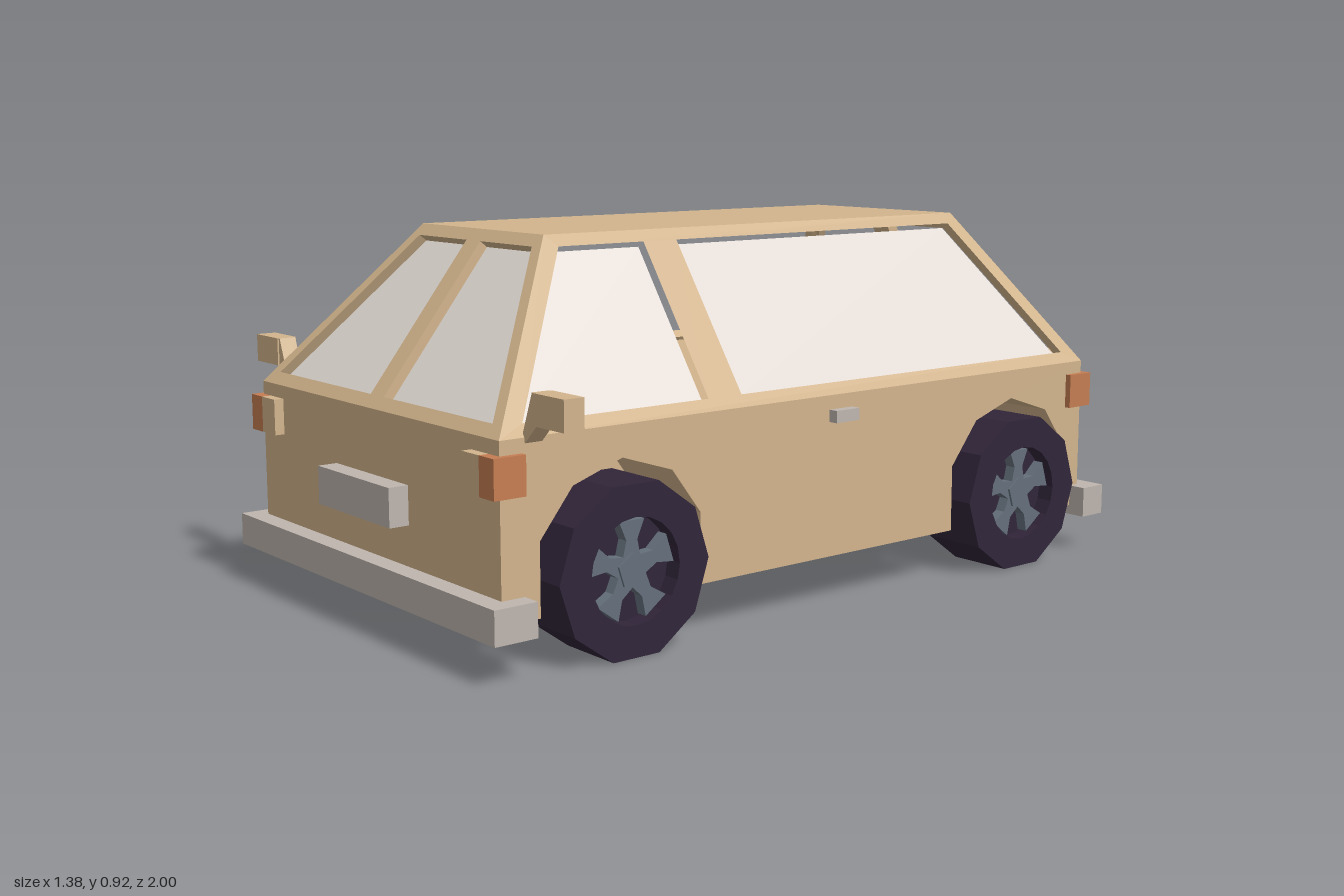
import * as THREE from 'three';

const mat = (name, color) => {
  const m = new THREE.MeshStandardMaterial({ color });
  m.name = name;
  return m;
};

const polygon = (pts) => new THREE.Shape(pts.map(([x, y]) => new THREE.Vector2(x, y)));
const ngon = (n, r) => Array.from({ length: n }, (_, i) => {
  const a = (i / n) * Math.PI * 2;
  return [r * Math.cos(a), r * Math.sin(a)];
});
const extrude = (shape, depth) => new THREE.ExtrudeGeometry(shape, { depth, bevelEnabled: false });

export function createModel() {
  const car = new THREE.Group();
  car.name = 'car';
  const paint = mat('tanPaint', 0xd2b48c);
  const glass = mat('paleGlass', 0xe4dcd6);
  const metal = mat('greyTrim', 0xbeb5ae);
  const rubber = mat('darkTyre', 0x302539);
  const alloy = mat('blueGreyAlloy', 0x65707b);
  const amber = mat('amberLamp', 0xc57d52);

  const add = (parent, name, geometry, material) => {
    const mesh = new THREE.Mesh(geometry, material);
    mesh.name = name;
    parent.add(mesh);
    return mesh;
  };
  // Box given by its lower and upper bounds on each axis
  const box = (parent, name, material, [x0, x1], [y0, y1], [z0, z1]) => {
    const b = add(parent, name, new THREE.BoxGeometry(x1 - x0, y1 - y0, z1 - z0), material);
    b.position.set((x0 + x1) / 2, (y0 + y1) / 2, (z0 + z1) / 2);
    return b;
  };
  const span = (s, a, b) => (s > 0 ? [a, b] : [-b, -a]);

  const FLOOR = 0.12, BELT = 0.52, ROOF = 0.92;
  const HALF_W = 0.54, HALF_L = 0.95, WELL_X = 0.32;
  const AXLES = [0.627, -0.664];

  // Lower body: central block plus side slabs with arches cut from below
  box(car, 'bodyCore', paint, [-WELL_X, WELL_X], [FLOOR, BELT], [-HALF_L, HALF_L]);
  const arch = [[0.223, FLOOR], [0.223, 0.29], [0.135, 0.4], [0, 0.445], [-0.14, 0.4], [-0.223, 0.29], [-0.223, FLOOR]];
  const profile = [[HALF_L, BELT], [HALF_L, FLOOR]];
  for (const axle of AXLES) arch.forEach(([z, y]) => profile.push([axle + z, y]));
  profile.push([-HALF_L, FLOOR], [-HALF_L, BELT]);
  const slab = extrude(polygon(profile.map(([z, y]) => [-z, y])), HALF_W - WELL_X);
  slab.rotateY(Math.PI / 2);
  for (const s of [1, -1]) {
    add(car, s > 0 ? 'leftBodySide' : 'rightBodySide', slab, paint).position.x = s > 0 ? WELL_X : -HALF_W;
  }

  // Cabin wall: sloping frame with openings, and recessed panes.
  // Points are (distance along u, height y); lean is the inward run from belt to roof.
  const cabinWall = (name, origin, u, inward, lean, outline, windows) => {
    const rise = ROOF - BELT, stretch = Math.hypot(rise, lean) / rise;
    const v = inward.clone().multiplyScalar(lean).setY(rise).normalize();
    const n = u.clone().cross(v);
    const toPlane = (pts) => pts.map(([a, y]) => [a, (y - BELT) * stretch]);
    const wall = new THREE.Group();
    wall.name = name;
    wall.applyMatrix4(new THREE.Matrix4().makeBasis(u, v, n).setPosition(origin));
    const frame = polygon(toPlane(outline));
    windows.forEach((w) => frame.holes.push(polygon(toPlane(w))));
    add(wall, 'windowFrame', extrude(frame, 0.03).translate(0, 0, -0.03), paint);
    windows.forEach((w) => {
      add(wall, 'windowPane', new THREE.ShapeGeometry(polygon(toPlane(w))).translate(0, 0, -0.024), glass);
    });
    car.add(wall);
  };
  const V = (x, y, z) => new THREE.Vector3(x, y, z);
  const LOW = 0.547, HIGH = 0.893, ROOF_X = 0.262, ROOF_F = 0.638, ROOF_B = -0.715;
  const endOutline = [[-HALF_W, BELT], [HALF_W, BELT], [ROOF_X, ROOF], [-ROOF_X, ROOF]];
  const endWindows = [1, -1].map((s) => [[0.03, LOW], [0.485, LOW], [0.245, HIGH], [0.03, HIGH]].map(([x, y]) => [s * x, y]));
  cabinWall('windscreen', V(0, BELT, HALF_L), V(1, 0, 0), V(0, 0, -1), HALF_L - ROOF_F, endOutline, endWindows);
  cabinWall('rearScreen', V(0, BELT, -HALF_L), V(-1, 0, 0), V(0, 0, 1), HALF_L + ROOF_B, endOutline, endWindows);

  const sideOutline = [[-HALF_L, BELT], [HALF_L, BELT], [ROOF_F, ROOF], [ROOF_B, ROOF]];
  const sideWindows = [
    [[0.365, LOW], [0.878, LOW], [0.61, HIGH], [0.365, HIGH]],
    [[-0.886, LOW], [0.265, LOW], [0.265, HIGH], [-0.685, HIGH]],
  ];
  for (const s of [1, -1]) {
    const flip = (pts) => pts.map(([z, y]) => [-s * z, y]);
    cabinWall(s > 0 ? 'leftCabinSide' : 'rightCabinSide', V(s * HALF_W, BELT, 0), V(0, 0, -s), V(-s, 0, 0),
      HALF_W - ROOF_X, flip(sideOutline), sideWindows.map(flip));
  }
  box(car, 'roof', paint, [-ROOF_X, ROOF_X], [ROOF - 0.02, ROOF], [ROOF_B, ROOF_F]);

  // Bumpers and blank plates
  box(car, 'frontBumper', metal, [-0.588, 0.588], [0.095, 0.175], [0.89, 1]);
  box(car, 'rearBumper', metal, [-0.588, 0.588], [0.095, 0.175], [-1, -0.92]);
  box(car, 'frontPlate', metal, [-0.165, 0.165], [0.272, 0.365], [0.94, 1]);
  box(car, 'rearPlate', metal, [-0.165, 0.165], [0.272, 0.365], [-1, -0.94]);

  // Wheel, facing +z: ten-sided tyre, recessed disc, five flared spokes, hub
  const DEPTH = 0.173;
  const tyreShape = polygon(ngon(10, 0.207));
  tyreShape.holes.push(polygon(ngon(20, 0.123)));
  const tyreGeo = extrude(tyreShape, DEPTH);
  const discGeo = extrude(polygon(ngon(20, 0.124)), DEPTH - 0.045);
  const star = [];
  for (let i = 0; i < 5; i++) {
    const a = Math.PI / 2 + (i * Math.PI * 2) / 5;
    for (const [r, t] of [[0.04, -0.6], [0.07, -0.22], [0.118, -0.3], [0.118, 0.3], [0.07, 0.22]]) {
      star.push([r * Math.cos(a + t), r * Math.sin(a + t)]);
    }
  }
  const spokeGeo = extrude(polygon(star), 0.03).translate(0, 0, DEPTH - 0.046);
  const hubGeo = extrude(polygon(ngon(5, 0.042)), 0.03).rotateZ(Math.PI / 2).translate(0, 0, DEPTH - 0.04);

  for (const s of [1, -1]) {
    const side = s > 0 ? 'left' : 'right';

    AXLES.forEach((z, i) => {
      const wheel = new THREE.Group();
      wheel.name = side + (i ? 'RearWheel' : 'FrontWheel');
      add(wheel, 'tyre', tyreGeo, rubber);
      add(wheel, 'wheelDisc', discGeo, rubber);
      add(wheel, 'spokes', spokeGeo, alloy);
      add(wheel, 'hub', hubGeo, alloy);
      wheel.position.set(s * 0.415, 0.197, z);
      wheel.rotation.y = (s * Math.PI) / 2;
      car.add(wheel);
    });

    // Lamps wrapping the corners
    box(car, side + 'Headlamp', paint, span(s, 0.433, 0.5), [0.397, 0.487], [0.893, 0.975]);
    box(car, side + 'Indicator', amber, span(s, 0.5, 0.556), [0.397, 0.487], [0.893, 0.975]);
    box(car, side + 'TailLamp', amber, span(s, 0.433, 0.556), [0.397, 0.487], [-0.972, -0.888]);

    box(car, side + 'DoorHandle', metal, span(s, 0.53, 0.566), [0.455, 0.485], [-0.076, 0]);

    // Door mirror on a slanted arm
    const mirror = new THREE.Group();
    mirror.name = side + 'Mirror';
    box(mirror, 'mirrorHousing', paint, span(s, 0.575, 0.69), [0.55, 0.62], [0.838, 0.89]);
    box(mirror, 'mirrorGlass', glass, span(s, 0.588, 0.678), [0.56, 0.61], [0.835, 0.84]);
    const arm = [[0.57, 0.62], [0.533, 0.525], [0.542, 0.508], [0.586, 0.55], [0.586, 0.62]].map(([x, y]) => [s * x, y]);
    add(mirror, 'mirrorArm', extrude(polygon(arm), 0.044), paint).position.z = 0.842;
    car.add(mirror);
  }

  return car;
}
